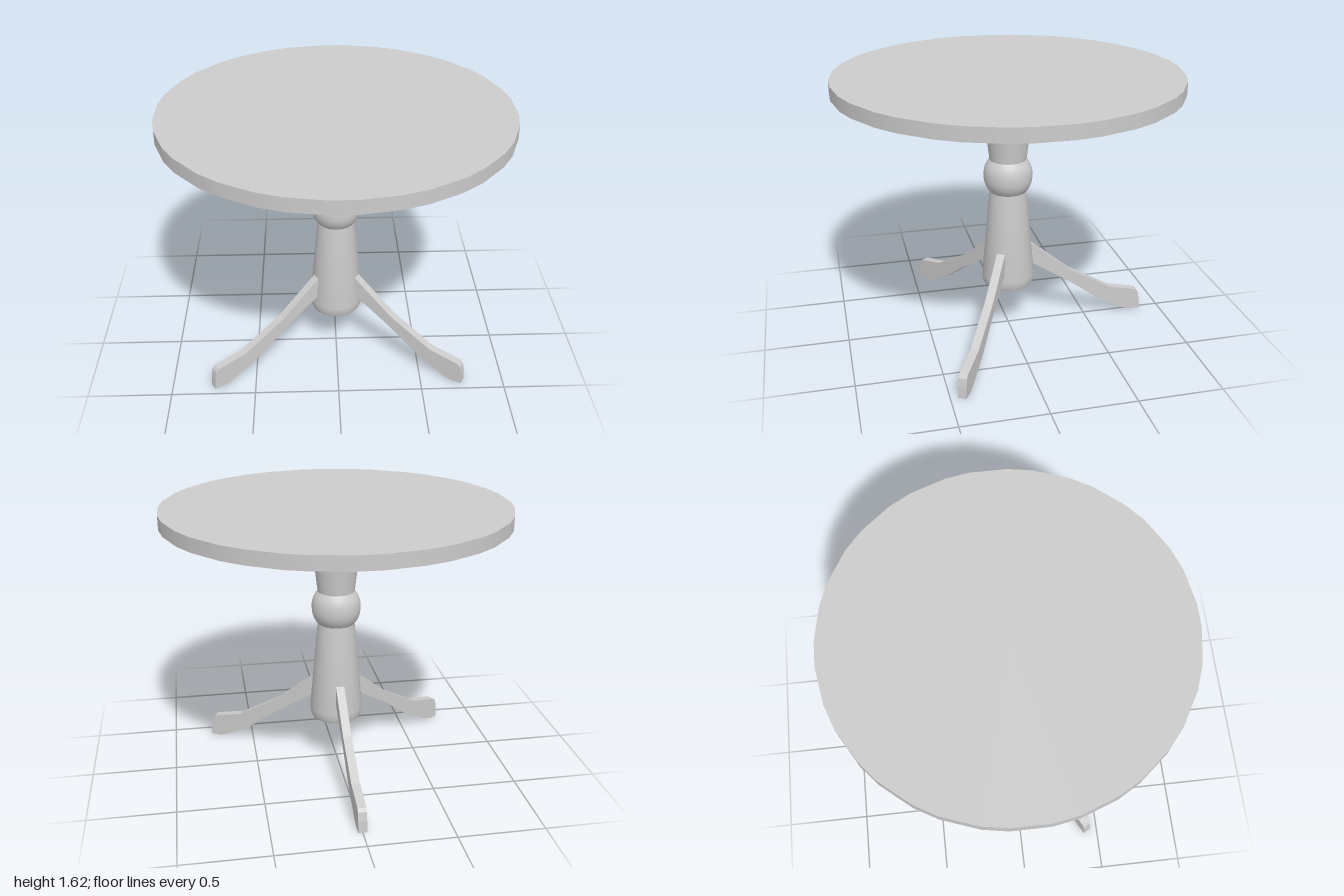
import * as THREE from 'three';
import { toCreasedNormals } from 'three/addons/utils/BufferGeometryUtils.js';

const DEG = Math.PI / 180;
const material = new THREE.MeshStandardMaterial({ color: 0xcccccc });

function part(name, geometry) {
  const mesh = new THREE.Mesh(geometry, material);
  mesh.name = name;
  return mesh;
}

// Round top: 36 sides that alternate between short (8 degrees) and long (12 degrees)
function tabletopGeometry() {
  const g = new THREE.CylinderGeometry(1.0024, 1.0024, 0.08, 36, 1, false, -5 * DEG);
  const p = g.attributes.position;
  const step = 20 * DEG;
  for (let i = 0; i < p.count; i++) {
    const r = Math.hypot(p.getX(i), p.getZ(i));
    const a = Math.atan2(p.getX(i), p.getZ(i));
    const c = Math.round(a / step) * step;
    const b = c + (a - c) * 0.8;
    p.setX(i, r * Math.sin(b));
    p.setZ(i, r * Math.cos(b));
  }
  return g.translate(0, 1.575, 0);
}

// Turned column: rounded foot, taper, bulb and flared neck
function columnGeometry() {
  const points = [[0, 0.287], [0.133, 0.287], [0.147, 0.295], [0.157, 0.32], [0.16, 0.355]];
  for (let i = 0; i <= 10; i++) {
    const y = -0.1 + 0.02 * i;
    points.push([Math.sqrt(0.145 ** 2 - y * y) + 0.005 * Math.abs(y) / 0.1, 1 + y]);
  }
  points.push([0.16, 1.536], [0, 1.536]);
  const g = new THREE.LatheGeometry(points.map(([r, y]) => new THREE.Vector2(r, y)), 36);
  return toCreasedNormals(g, 0.6);
}

// Flat curved leg, outlined as [distance from axis, height]
function legGeometry() {
  const outline = [
    [0.12, 0.43], [0.155, 0.405], [0.395, 0.25], [0.58, 0.11], [0.76, 0.015], [0.81, 0],
    [0.872, 0], [0.868, 0.07], [0.858, 0.12], [0.842, 0.138], [0.655, 0.18],
    [0.39, 0.335], [0.145, 0.538], [0.12, 0.538],
  ];
  const shape = new THREE.Shape(outline.map(([r, y]) => new THREE.Vector2(r, y)));
  return new THREE.ExtrudeGeometry(shape, { depth: 0.05, bevelEnabled: false })
    .translate(0, 0, -0.025);
}

export function createModel() {
  const group = new THREE.Group();
  group.name = 'pedestalTable';
  group.add(part('tabletop', tabletopGeometry()), part('column', columnGeometry()));

  // Three legs, one straight back and two to the front corners
  const geometry = legGeometry();
  for (const [name, angle] of [['backLeg', 90], ['leftLeg', -30], ['rightLeg', 210]]) {
    const leg = part(name, geometry);
    leg.rotation.y = angle * DEG;
    group.add(leg);
  }
  return group;
}
